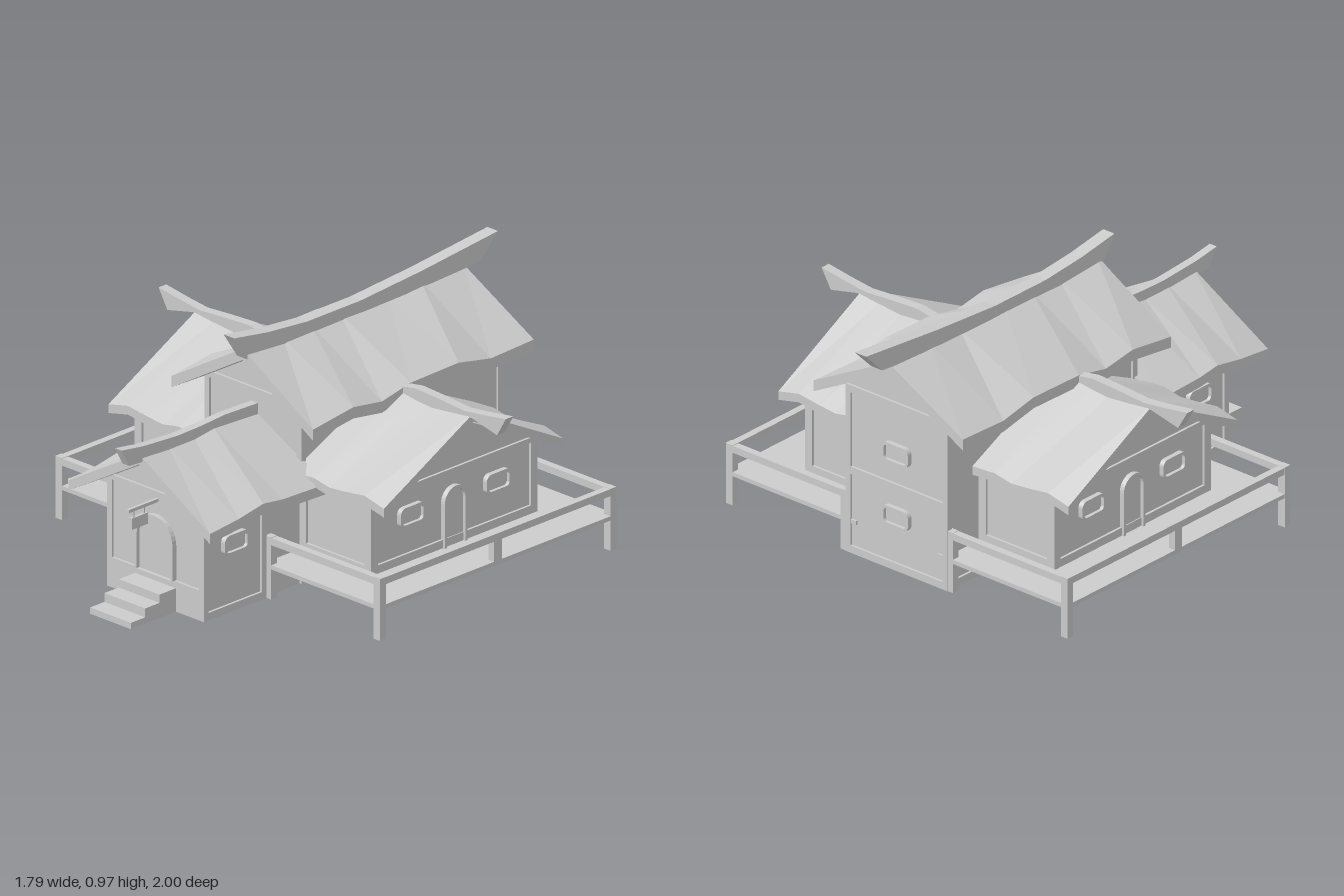
import * as THREE from 'three';

const grey = new THREE.MeshStandardMaterial({ color: 0xcccccc, flatShading: true, side: THREE.DoubleSide });

function add(parent, name, geometry, x = 0, y = 0, z = 0) {
  const mesh = new THREE.Mesh(geometry, grey);
  mesh.name = name;
  mesh.position.set(x, y, z);
  parent.add(mesh);
  return mesh;
}

function box(parent, name, x0, x1, y0, y1, z0, z1) {
  return add(parent, name, new THREE.BoxGeometry(x1 - x0, y1 - y0, z1 - z0),
    (x0 + x1) / 2, (y0 + y1) / 2, (z0 + z1) / 2);
}

function section(parent, name, x, z, turn) {
  const g = new THREE.Group();
  g.name = name;
  g.position.set(x, 0, z);
  g.rotation.y = turn;
  parent.add(g);
  return g;
}

const polygon = (pts) => new THREE.Shape(pts.map(([x, y]) => new THREE.Vector2(x, y)));
const rect = (x0, x1, y0, y1) => polygon([[x0, y0], [x1, y0], [x1, y1], [x0, y1]]);
const extrude = (shape, depth) =>
  new THREE.ExtrudeGeometry(shape, { depth, bevelEnabled: false, curveSegments: 8 });

// Walls with a gabled top, running from z0 to z1
function gabledBody(parent, name, half, wallY, apexY, z0, z1, baseY = 0) {
  const shape = polygon([[-half, baseY], [half, baseY], [half, wallY], [0, apexY], [-half, wallY]]);
  add(parent, name, extrude(shape, z1 - z0), 0, 0, z0);
}

// Raised timber border around a recessed wall panel, facing +z
function wallFrame(parent, half, y0, y1, side, bottom, top, depth = 0.01) {
  const shape = rect(-half, half, y0, y1);
  shape.holes.push(rect(-half + side, half - side, y0 + bottom, y1 - top));
  add(parent, 'wallFrame', extrude(shape, depth));
}

// Outlines of the openings
function windowOutline(inset) {
  const w = 0.065 - inset, h = 0.04 - inset, r = 0.026 - inset;
  const s = new THREE.Shape();
  s.moveTo(w - r, -h);
  s.absarc(w - r, -h + r, r, -Math.PI / 2, 0);
  s.absarc(w - r, h - r, r, 0, Math.PI / 2);
  s.absarc(-w + r, h - r, r, Math.PI / 2, Math.PI);
  s.absarc(-w + r, -h + r, r, Math.PI, Math.PI * 1.5);
  s.closePath();
  return s;
}

const doorOutline = (half, height) => (inset) => {
  const w = half - inset;
  const s = new THREE.Shape();
  s.moveTo(-w, 0);
  s.lineTo(w, 0);
  s.absarc(0, height - half, w, 0, Math.PI);
  s.closePath();
  return s;
};

// A thin pane with a raised surround
function opening(parent, name, outline, x, y, depth = 0.02) {
  const ring = outline(0);
  ring.holes.push(outline(0.011));
  add(parent, name + 'Surround', extrude(ring, depth), x, y, 0);
  add(parent, name + 'Pane', extrude(outline(0.005), 0.006), x, y, 0);
}

// Folded roof slab; stations are [z, ridgeY, eaveY] with rising z
function roof(parent, half, thick, stations) {
  const pos = [], index = [];
  for (const [z, r, e] of stations) {
    pos.push(-half, e, z, 0, r, z, half, e, z, half, e - thick, z, 0, r - thick, z, -half, e - thick, z);
  }
  for (let i = 0; i < stations.length - 1; i++) {
    for (let j = 0; j < 6; j++) {
      const a = i * 6 + j, b = i * 6 + (j + 1) % 6;
      index.push(a, a + 6, b + 6, a, b + 6, b);
    }
  }
  const n = (stations.length - 1) * 6;
  index.push(0, 1, 4, 0, 4, 5, 1, 2, 3, 1, 3, 4);
  index.push(n + 4, n + 1, n, n + 5, n + 4, n, n + 3, n + 2, n + 1, n + 4, n + 3, n + 1);
  const g = new THREE.BufferGeometry();
  g.setAttribute('position', new THREE.Float32BufferAttribute(pos, 3));
  g.setIndex(index);
  const flat = g.toNonIndexed();
  flat.computeVertexNormals();
  add(parent, 'roof', flat);
}

// Upswept ridge beam from a (z, y) side profile
function ridgeBeam(parent, width, pts) {
  const g = extrude(polygon(pts), width);
  g.translate(0, 0, -width / 2);
  g.rotateY(-Math.PI / 2);
  add(parent, 'ridgeBeam', g);
}

function buildHall(model) {
  const hall = section(model, 'mainHall', 0, 0, 0);
  gabledBody(hall, 'hallWalls', 0.24, 0.69, 0.84, -0.79, 0.245);
  roof(hall, 0.365, 0.045, [[-0.845, 0.875, 0.68], [-0.62, 0.878, 0.672], [-0.45, 0.865, 0.705],
    [-0.2, 0.87, 0.7], [-0.05, 0.868, 0.67], [0.1, 0.866, 0.692], [0.31, 0.88, 0.665]]);
  ridgeBeam(hall, 0.055, [[0.38, 0.95], [0.2, 0.922], [0, 0.904], [-0.28, 0.904], [-0.6, 0.927],
    [-1, 0.967], [-0.91, 0.877], [-0.845, 0.87], [-0.6, 0.86], [0, 0.85], [0.31, 0.845]]);
  wallFrame(section(hall, 'upperFront', 0, 0.245, 0), 0.25, 0.42, 0.71, 0.025, 0.03, 0.025);
  // Two storeys of panels at the back
  const back = section(hall, 'backWall', 0, -0.79, Math.PI);
  wallFrame(back, 0.25, 0, 0.34, 0.025, 0.03, 0.015);
  wallFrame(back, 0.25, 0.34, 0.69, 0.025, 0.015, 0.03);
  for (const y of [0.22, 0.48]) opening(back, 'window', windowOutline, 0, y);
  for (const s of [-1, 1]) {
    const side = section(hall, 'hallSide', s * 0.24, -0.2725, s * Math.PI / 2);
    wallFrame(side, 0.5275, 0, 0.69, 0.025, 0.03, 0.03);
  }
}

function buildEntrance(model) {
  const porch = section(model, 'entranceHall', 0, 0, 0);
  gabledBody(porch, 'entranceWalls', 0.24, 0.435, 0.58, 0.2, 0.755);
  roof(porch, 0.365, 0.04, [[0.24, 0.615, 0.428], [0.47, 0.625, 0.435], [0.57, 0.612, 0.448],
    [0.7, 0.612, 0.425], [0.85, 0.62, 0.41]]);
  ridgeBeam(porch, 0.034, [[0.96, 0.673], [0.85, 0.657], [0.67, 0.645], [0.55, 0.647], [0.42, 0.655],
    [0.24, 0.65], [0.24, 0.59], [0.85, 0.595], [0.92, 0.6]]);
  const front = section(porch, 'frontWall', 0, 0.755, 0);
  wallFrame(front, 0.25, 0, 0.45, 0.025, 0.12, 0.02);
  opening(front, 'frontDoor', doorOutline(0.098, 0.235), 0, 0.12);
  for (const s of [-1, 1]) {
    const side = section(porch, 'entranceSide', s * 0.24, 0.6, s * Math.PI / 2);
    wallFrame(side, 0.165, 0, 0.44, 0.025, 0.03, 0.03);
    opening(side, 'window', windowOutline, 0, 0.27);
  }
  // Steps
  [[0.85, 0.093], [0.925, 0.06], [1, 0.025]].forEach(([z, y]) =>
    box(porch, 'step', -0.105, 0.105, 0, y, 0.75, z));
  // Hanging board on a bracket over the door
  const sign = section(porch, 'hangingBoard', 0, 0, 0);
  box(sign, 'bracket', -0.006, 0.006, 0.405, 0.418, 0.755, 0.91);
  box(sign, 'board', -0.007, 0.007, 0.335, 0.38, 0.81, 0.895);
  for (const z of [0.825, 0.88]) box(sign, 'hanger', -0.003, 0.003, 0.375, 0.41, z - 0.003, z + 0.003);
}

// Side wing and its veranda, built facing +z and turned outwards
function buildWing(model, s) {
  const wing = section(model, s > 0 ? 'leftWing' : 'rightWing', 0, -0.18, s * Math.PI / 2);
  gabledBody(wing, 'wingWalls', 0.425, 0.43, 0.635, 0.2, 0.6, 0.12);
  roof(wing, 0.47, 0.035, [[0.24, 0.675, 0.455], [0.35, 0.682, 0.462], [0.43, 0.672, 0.447],
    [0.51, 0.665, 0.455], [0.61, 0.675, 0.468], [0.71, 0.687, 0.445]]);
  ridgeBeam(wing, 0.04, [[0.895, 0.722], [0.78, 0.705], [0.68, 0.693], [0.55, 0.702], [0.43, 0.708],
    [0.35, 0.695], [0.24, 0.7], [0.24, 0.65], [0.55, 0.65], [0.72, 0.675], [0.85, 0.645]]);
  const gable = section(wing, 'gableWall', 0, 0.6, 0);
  wallFrame(gable, 0.435, 0.13, 0.44, 0.035, 0.04, 0.02);
  opening(gable, 'sideDoor', doorOutline(0.06, 0.237), 0, 0.135);
  for (const x of [-0.225, 0.225]) opening(gable, 'window', windowOutline, x, 0.32);
  for (const t of [-1, 1]) {
    const wall = section(wing, 'wingSide', t * 0.425, 0.425, t * Math.PI / 2);
    wallFrame(wall, 0.185, 0.13, 0.44, 0.035, 0.04, 0.02);
  }
  // Veranda floor, posts and rails
  const deck = section(wing, 'veranda', 0, 0, 0);
  box(deck, 'deckFloor', -0.618, 0.618, 0.12, 0.137, 0.2, 0.835);
  box(deck, 'outerRail', -0.618, 0.618, 0.217, 0.245, 0.805, 0.835);
  box(deck, 'middlePost', -0.02, 0.02, 0.13, 0.22, 0.805, 0.835);
  for (const t of [-1, 1]) {
    const a = t > 0 ? 0.588 : -0.618, b = a + 0.03;
    box(deck, 'endRail', a, b, 0.217, 0.245, 0.24, 0.81);
    box(deck, 'cornerPost', a, b, 0, 0.247, 0.803, 0.837);
    box(deck, 'innerPost', a, b, 0, 0.247, 0.245, 0.275);
  }
}

export function createModel() {
  const model = new THREE.Group();
  model.name = 'gabledHouse';
  buildHall(model);
  buildEntrance(model);
  for (const s of [-1, 1]) buildWing(model, s);
  return model;
}
